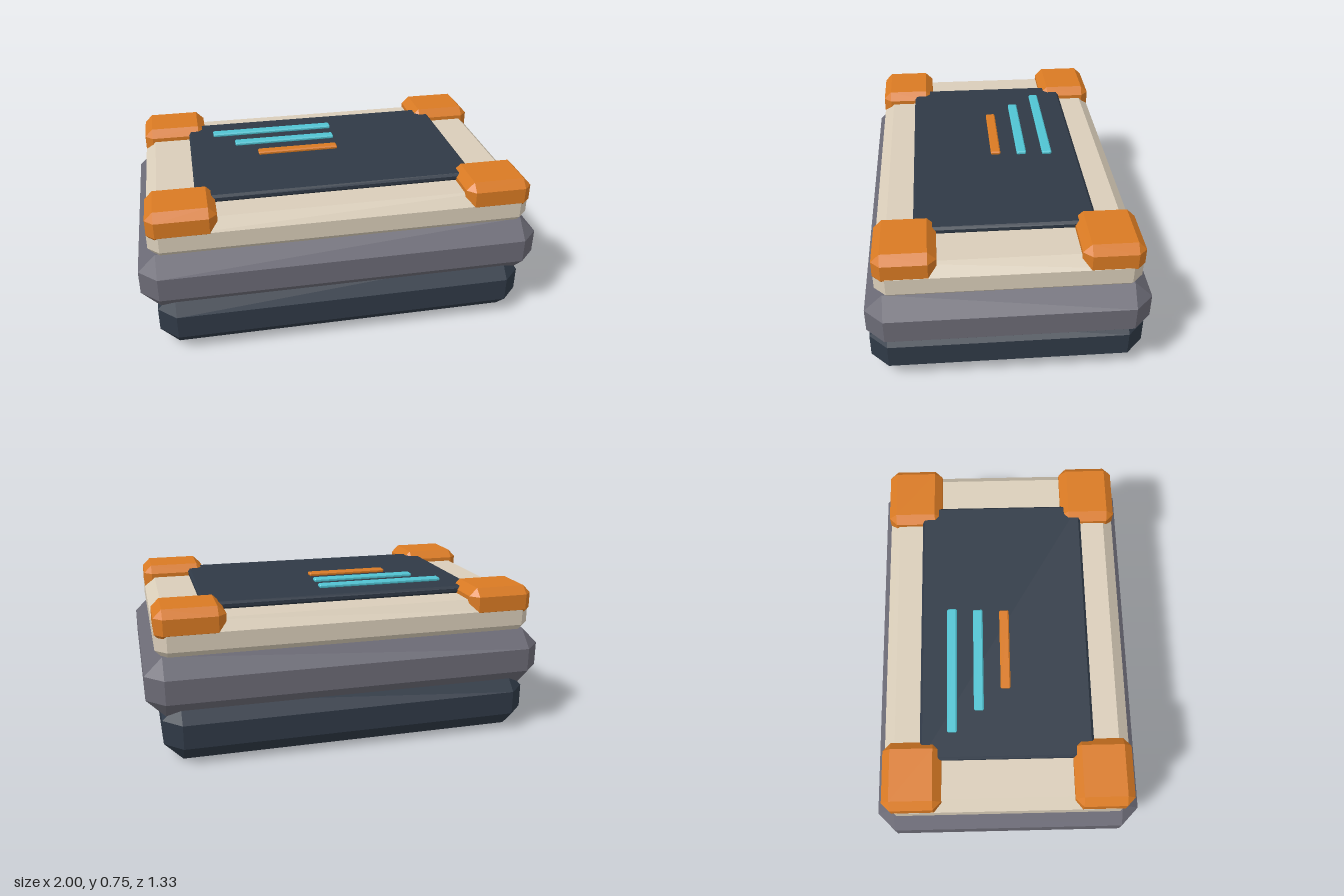
import * as THREE from 'three';
import { ConvexGeometry } from 'three/addons/geometries/ConvexGeometry.js';

// Box with single flat chamfers on all edges and corners
function chamferBox(w, h, d, c) {
  const points = [];
  for (const sx of [-1, 1]) for (const sy of [-1, 1]) for (const sz of [-1, 1]) {
    const x = w / 2, y = h / 2, z = d / 2;
    points.push(
      new THREE.Vector3(sx * x, sy * (y - c), sz * (z - c)),
      new THREE.Vector3(sx * (x - c), sy * y, sz * (z - c)),
      new THREE.Vector3(sx * (x - c), sy * (y - c), sz * z)
    );
  }
  return new ConvexGeometry(points);
}

function material(name, color) {
  const m = new THREE.MeshStandardMaterial({ color, flatShading: true });
  m.name = name;
  return m;
}

export function createModel() {
  const group = new THREE.Group();
  group.name = 'caseModel';
  const navy = material('dark navy', 0x2f3946);
  const slate = material('slate grey', 0x6b6a75);
  const cream = material('cream', 0xd9cdb9);
  const orange = material('orange', 0xd97a23);
  const teal = material('teal', 0x50c3d2);

  // Add a chamfered block given its extents on each axis
  function block(name, mat, [x0, x1], [y0, y1], [z0, z1], c) {
    const mesh = new THREE.Mesh(chamferBox(x1 - x0, y1 - y0, z1 - z0, c), mat);
    mesh.position.set((x0 + x1) / 2, (y0 + y1) / 2, (z0 + z1) / 2);
    mesh.name = name;
    group.add(mesh);
  }

  // Stacked body layers
  block('base', navy, [-0.93, 0.93], [0, 0.295], [-0.667, 0.667], 0.088);
  block('middleBody', slate, [-1, 1], [0.229, 0.523], [-0.667, 0.667], 0.088);
  block('lid', cream, [-0.943, 0.943], [0.495, 0.688], [-0.613, 0.613], 0.055);
  block('topPanel', navy, [-0.7, 0.7], [0.686, 0.725], [-0.43, 0.43], 0.012);

  // Corner guards
  for (const sx of [-1, 1]) for (const sz of [-1, 1]) {
    const span = (s, a, b) => (s > 0 ? [a, b] : [-b, -a]);
    block('cornerGuard', orange, span(sx, 0.608, 0.942), [0.59, 0.748], span(sz, 0.325, 0.614), 0.04);
  }

  // Raised strips on the top panel
  const strips = [
    [teal, -0.567, 0.09, -0.27],
    [teal, -0.457, 0.083, -0.136],
    [orange, -0.346, 0.077, 0],
  ];
  for (const [mat, x0, x1, z] of strips) {
    block('panelStrip', mat, [x0, x1], [0.723, 0.743], [z - 0.025, z + 0.025], 0.006);
  }

  return group;
}
